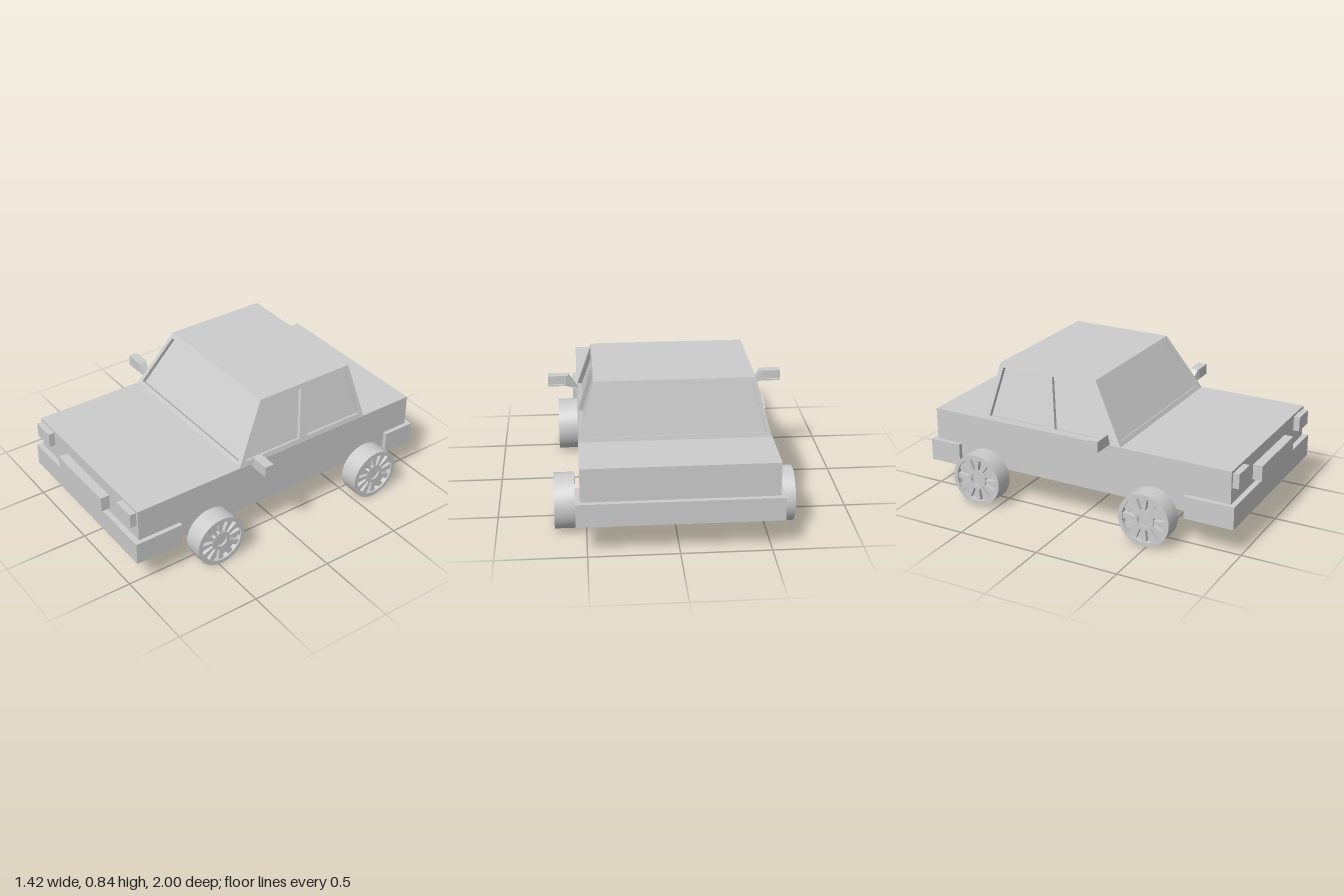
import * as THREE from 'three';
import { toCreasedNormals } from 'three/addons/utils/BufferGeometryUtils.js';
import { ConvexGeometry } from 'three/addons/geometries/ConvexGeometry.js';

const paint = new THREE.MeshStandardMaterial({ color: 0xcccccc, side: THREE.DoubleSide });
paint.name = 'plain grey';
const V = (x, y, z) => new THREE.Vector3(x, y, z);

function add(parent, name, geometry) {
  const mesh = new THREE.Mesh(geometry, paint);
  mesh.name = name;
  parent.add(mesh);
  return mesh;
}

function box(parent, name, x0, x1, y0, y1, z0, z1) {
  const mesh = add(parent, name, new THREE.BoxGeometry(x1 - x0, y1 - y0, z1 - z0));
  mesh.position.set((x0 + x1) / 2, (y0 + y1) / 2, (z0 + z1) / 2);
  return mesh;
}

// A flat panel through four corners (counter-clockwise from outside),
// with window openings cut out and glass set back inside them.
function panel(parent, name, corners, openings = [], thickness = 0.025) {
  const u = corners[1].clone().sub(corners[0]).normalize();
  const n = u.clone().cross(corners[2].clone().sub(corners[0])).normalize();
  const v = n.clone().cross(u);
  const basis = new THREE.Matrix4().makeBasis(u, v, n).setPosition(corners[0]);
  const flat = (points) => points.map((p) => {
    const d = p.clone().sub(corners[0]);
    return new THREE.Vector2(d.dot(u), d.dot(v));
  });
  const shape = new THREE.Shape(flat(corners));
  openings.forEach((o) => shape.holes.push(new THREE.Path(flat(o))));
  const frame = new THREE.ExtrudeGeometry(shape, { depth: thickness, bevelEnabled: false });
  add(parent, name + 'Frame', frame.translate(0, 0, -thickness).applyMatrix4(basis));
  openings.forEach((o) => {
    const glass = new THREE.ShapeGeometry(new THREE.Shape(flat(o)));
    add(parent, name + 'Glass', glass.translate(0, 0, -thickness + 0.001).applyMatrix4(basis));
  });
}

function makeCabin() {
  const cabin = new THREE.Group();
  cabin.name = 'cabin';
  const y0 = 0.505, y1 = 0.835, xb = 0.535, xt = 0.445;
  const zf0 = 0.275, zf1 = 0.07, zr0 = -0.625, zr1 = -0.56;
  const mix = (a, b, y) => a + (b - a) * (y - y0) / (y1 - y0);
  const lo = 0.528, hi = 0.81;

  // windscreen and rear window
  const endWall = (name, s, z0, z1) => {
    const at = (x, y) => V(s * x, y, mix(z0, z1, y));
    panel(cabin, name,
      [at(-xb, y0), at(xb, y0), at(xt, y1), at(-xt, y1)],
      [[at(-0.503, lo), at(0.503, lo), at(0.43, hi), at(-0.43, hi)]]);
  };
  endWall('windscreen', 1, zf0, zf1);
  endWall('rearWindow', -1, zr0, zr1);

  // sides with two windows each
  for (const s of [-1, 1]) {
    const at = (z, y) => V(s * mix(xb, xt, y), y, z);
    const quad = (...p) => (s > 0 ? p : p.reverse());
    panel(cabin, s > 0 ? 'leftSide' : 'rightSide',
      quad(at(zf0, y0), at(zr0, y0), at(zr1, y1), at(zf1, y1)),
      [quad(at(0.228, lo), at(-0.152, lo), at(-0.21, hi), at(0.055, hi)),
        quad(at(-0.207, lo), at(-0.593, lo), at(-0.537, hi), at(-0.267, hi))]);
  }

  panel(cabin, 'roof', [V(-xt, y1, zf1), V(xt, y1, zf1), V(xt, y1, zr1), V(-xt, y1, zr1)]);
  return cabin;
}

// Wheel with its axle along x and its spoked face toward +x
function makeWheel(name) {
  const wheel = new THREE.Group();
  wheel.name = name;
  const lathe = (part, points, sides) => {
    const g = new THREE.LatheGeometry(points.map((p) => new THREE.Vector2(...p)), sides);
    add(wheel, part, toCreasedNormals(g, 0.6).rotateZ(-Math.PI / 2));
  };
  lathe('tyre', [[0, 0], [0.157, 0], [0.157, 0.117], [0.132, 0.117], [0.132, 0.085], [0, 0.085]], 32);
  lathe('hub', [[0.06, 0.085], [0.06, 0.112], [0.038, 0.112], [0.038, 0.1], [0, 0.1]], 24);

  const spoke = new THREE.Shape([[-0.008, 0.055], [0.008, 0.055], [0.018, 0.134], [-0.018, 0.134]]
    .map((p) => new THREE.Vector2(...p)));
  const count = 12;
  for (let i = 0; i < count; i++) {
    const g = new THREE.ExtrudeGeometry(spoke, { depth: 0.023, bevelEnabled: false });
    g.translate(0, 0, 0.085).rotateY(Math.PI / 2).rotateX((i * 2 * Math.PI) / count);
    add(wheel, 'spoke', g);
  }
  return wheel;
}

// Door mirror on the side given by s
function makeMirror(s) {
  const mirror = new THREE.Group();
  mirror.name = s > 0 ? 'leftMirror' : 'rightMirror';
  const x0 = 0.6, x1 = 0.708, y0 = 0.53, y1 = 0.595, z0 = 0.172, z1 = 0.228, w = 0.008;
  const span = (a, b) => [Math.min(s * a, s * b), Math.max(s * a, s * b)];
  box(mirror, 'mirrorHousing', ...span(x0, x1), y0, y1, z0 + 0.015, z1);
  // raised rim around the mirror glass
  const rect = (C, m) => new C([[x0 + m, y0 + m], [x1 - m, y0 + m], [x1 - m, y1 - m], [x0 + m, y1 - m]]
    .map(([x, y]) => new THREE.Vector2(s * x, y)));
  const rim = rect(THREE.Shape, 0);
  rim.holes.push(rect(THREE.Path, w));
  add(mirror, 'mirrorRim',
    new THREE.ExtrudeGeometry(rim, { depth: 0.015, bevelEnabled: false }).translate(0, 0, z0));
  // tapered arm
  const arm = [];
  for (const [x, y, h] of [[0.6, y0, 0.028], [0.6, y1, 0.028], [0.585, y1, 0.022], [0.53, 0.505, 0.004], [0.53, 0.515, 0.004]]) {
    arm.push(V(s * x, y, 0.2 - h), V(s * x, y, 0.2 + h));
  }
  add(mirror, 'mirrorArm', new ConvexGeometry(arm));
  return mirror;
}

export function createModel() {
  const car = new THREE.Group();
  car.name = 'car';

  // everything but the wheels sits on a common centre line
  const shell = new THREE.Group();
  shell.name = 'shell';
  shell.position.x = -0.004;
  car.add(shell);

  box(shell, 'body', -0.537, 0.537, 0.21, 0.505, -0.97, 0.945);
  box(shell, 'frontBumper', -0.563, 0.563, 0.178, 0.312, 0.68, 0.977);
  box(shell, 'rearBumper', -0.563, 0.563, 0.178, 0.312, -1, -0.8);
  box(shell, 'grille', -0.237, 0.237, 0.338, 0.428, 0.94, 1);
  for (const s of [-1, 1]) {
    box(shell, s > 0 ? 'leftHeadlight' : 'rightHeadlight',
      s * 0.45 - 0.07, s * 0.45 + 0.07, 0.403, 0.49, 0.94, 0.982);
    shell.add(makeMirror(s));
  }
  shell.add(makeCabin());

  // wheels: side, inner x, z
  const wheels = [
    ['frontLeftWheel', 1, 0.533, 0.48], ['frontRightWheel', -1, 0.543, 0.48],
    ['rearLeftWheel', 1, 0.558, -0.622], ['rearRightWheel', -1, 0.543, -0.622],
  ];
  for (const [name, s, x, z] of wheels) {
    const wheel = makeWheel(name);
    wheel.position.set(s * x, 0.157, z);
    if (s < 0) wheel.rotation.y = Math.PI;
    car.add(wheel);
  }
  return car;
}
